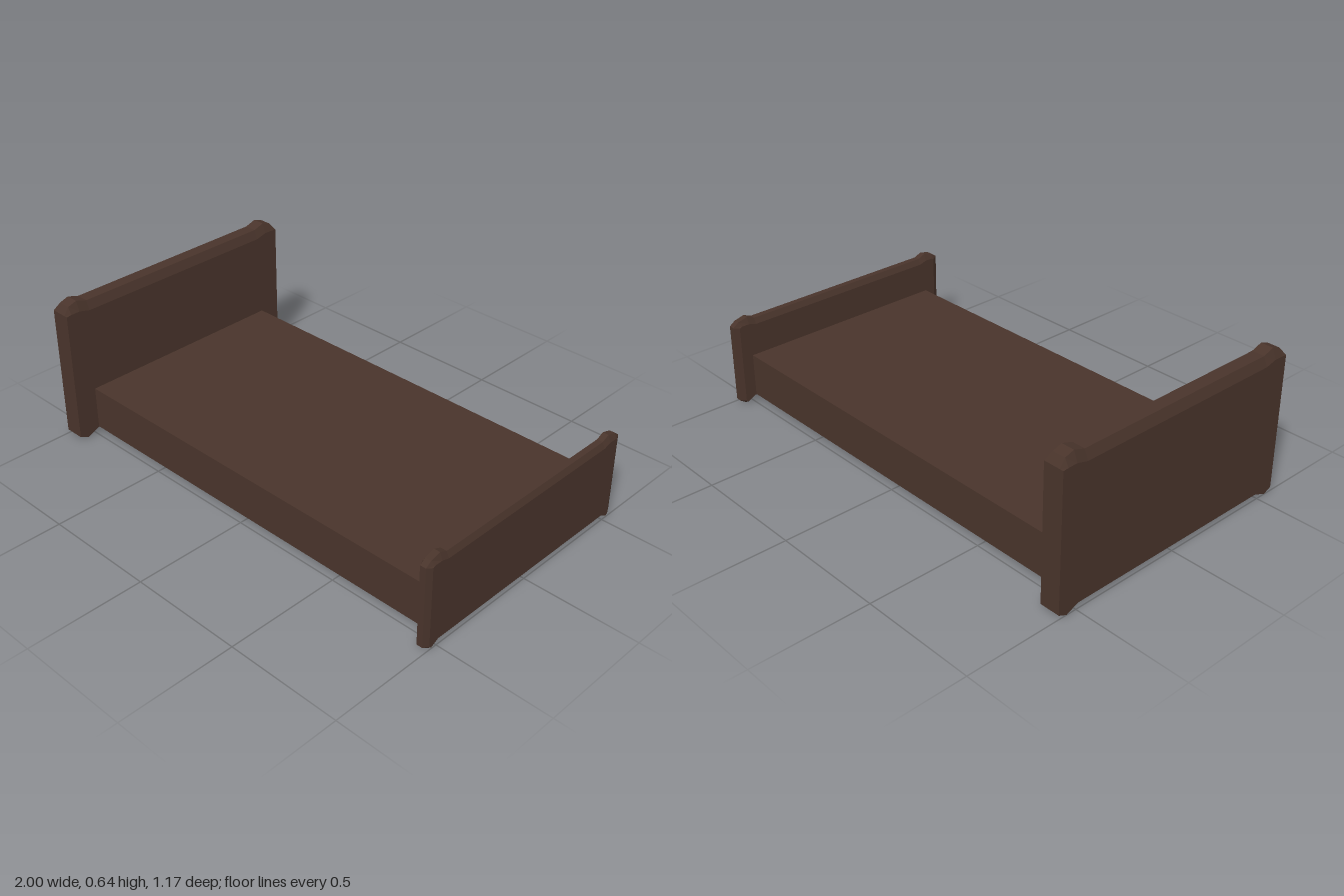
import * as THREE from 'three';

const wood = new THREE.MeshStandardMaterial({ color: 0x49342b });
wood.name = 'darkWood';

// Mirror a half outline of [z, y] points, listed from bottom centre to top centre
const mirrored = (half) => [...half, ...half.slice().reverse().map(([z, y]) => [-z, y])];

// Loft same-sized outlines along x and close both ends; faces stay flat
function loft(layers) {
  const pos = [];
  const rings = layers.map(([x, half]) => mirrored(half).map(([z, y]) => new THREE.Vector3(x, y, z)));
  const tri = (a, b, c) => pos.push(...a.toArray(), ...b.toArray(), ...c.toArray());
  const n = rings[0].length;
  for (let k = 0; k + 1 < rings.length; k++) {
    const p = rings[k], q = rings[k + 1];
    for (let i = 0; i < n; i++) {
      const j = (i + 1) % n;
      tri(p[i], q[j], p[j]);
      tri(p[i], q[i], q[j]);
    }
  }
  for (const [ring, facing] of [[rings[0], -1], [rings[rings.length - 1], 1]]) {
    const flat = ring.map((v) => new THREE.Vector2(v.z, v.y));
    for (const f of THREE.ShapeUtils.triangulateShape(flat, [])) {
      const [a, b, c] = f.map((i) => ring[i]);
      const nx = b.clone().sub(a).cross(c.clone().sub(a)).x;
      if (nx * facing > 0) tri(a, b, c);
      else tri(a, c, b);
    }
  }
  const g = new THREE.BufferGeometry();
  g.setAttribute('position', new THREE.Float32BufferAttribute(pos, 3));
  g.computeVertexNormals();
  return g;
}

export function createModel() {
  const model = new THREE.Group();
  model.name = 'bed';
  const add = (name, geometry) => {
    const mesh = new THREE.Mesh(geometry, wood);
    mesh.name = name;
    model.add(mesh);
    return mesh;
  };

  // Solid bed base
  add('bedBase', new THREE.BoxGeometry(1.88, 0.19, 0.97)).position.set(0.02, 0.125, 0);

  // Headboard: raised corners, small feet and a bevelled top
  const headFoot = [[0.49, 0.027], [0.545, 0.003], [0.583, 0.02], [0.583, 0.6]];
  const headFull = [...headFoot, [0.56, 0.633], [0.52, 0.646], [0.47, 0.63]];
  const headEdge = [...headFoot, [0.56, 0.602], [0.52, 0.603], [0.47, 0.59]];
  add('headboard', loft([[-1, headEdge], [-0.983, headFull], [-0.928, headFull], [-0.912, headEdge]]));

  // Footboard: lower and thinner, bevelled at the top and the ends
  const footFull = [[0.49, 0.027], [0.535, 0.003], [0.56, 0.02], [0.56, 0.37],
    [0.535, 0.388], [0.49, 0.4], [0.455, 0.385]];
  const footEdge = [[0.49, 0.027], [0.525, 0.008], [0.536, 0.015], [0.536, 0.365],
    [0.525, 0.37], [0.49, 0.37], [0.455, 0.36]];
  add('footboard', loft([[0.95, footEdge], [0.962, footFull], [0.988, footFull], [1, footEdge]]));

  return model;
}
